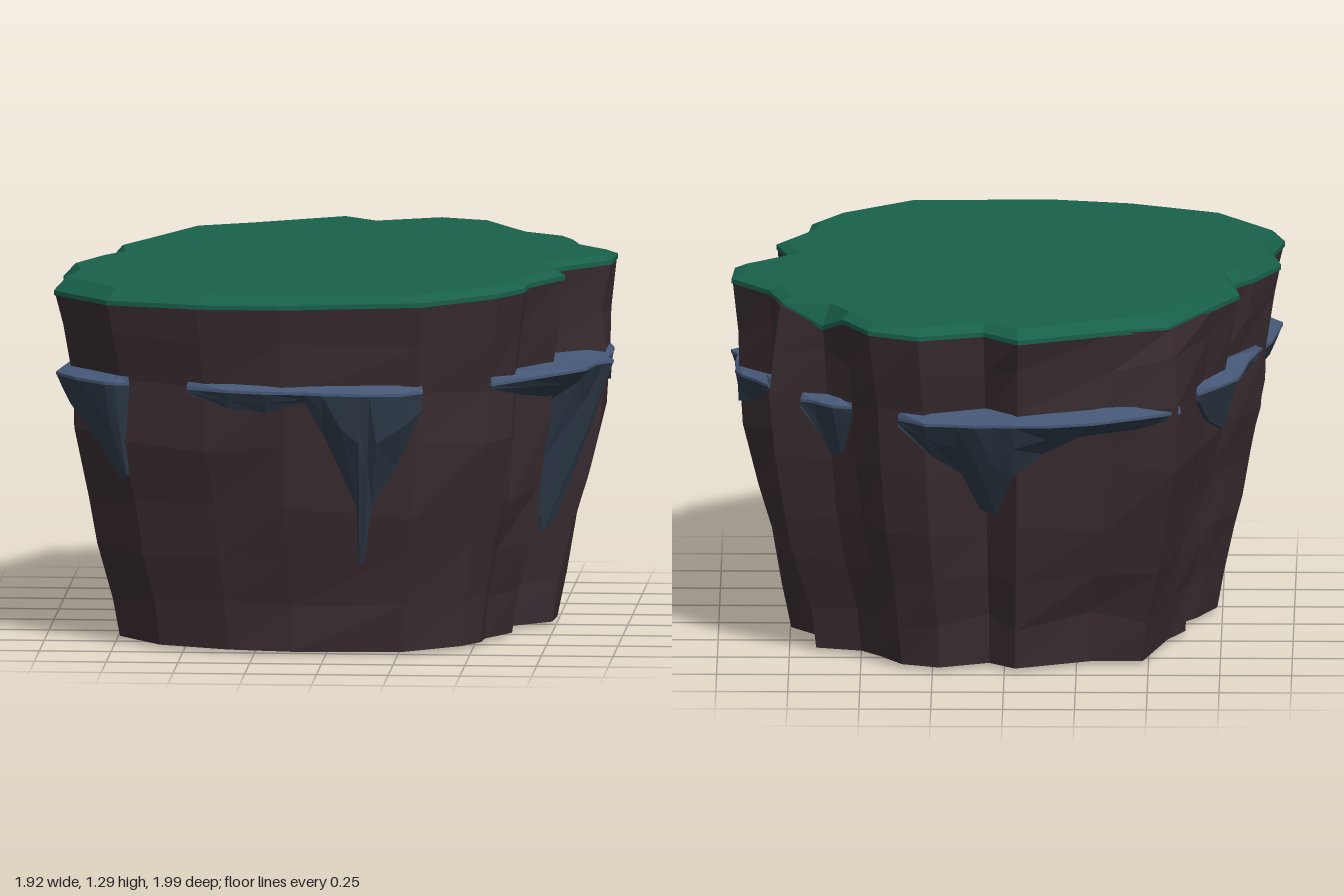
import * as THREE from 'three';

// Outline of the rock at its upper edge, as x, z pairs seen from above
const OUTLINE = [
  [-0.05, -0.99], [0.07, -0.88], [0.30, -0.97], [0.47, -0.90], [0.56, -0.74], [0.63, -0.62],
  [0.81, -0.55], [0.82, -0.34], [0.95, -0.19], [0.94, -0.03], [0.75, 0.14], [0.80, 0.32],
  [0.69, 0.51], [0.68, 0.62], [0.60, 0.75], [0.35, 0.95], [-0.15, 0.98], [-0.44, 0.93],
  [-0.76, 0.80], [-0.96, 0.54], [-0.92, 0.36], [-0.95, 0.20], [-0.86, 0], [-0.79, -0.10],
  [-0.81, -0.25], [-0.73, -0.41], [-0.60, -0.78], [-0.38, -0.82],
].reverse();

// Side profile: height and share of the outline
const PROFILE = [[0.012, 0.77], [0.17, 0.79], [0.35, 0.84], [0.52, 0.885], [0.75, 0.93], [0.95, 0.945], [1.12, 0.97], [1.25, 1]];

// Bulging flanks: angle in degrees (0 = front, 90 = left side +x) and strength
const FLANKS = [[124, 0.07], [218, 0.065], [96, 0.025]];

let seed = 7;
const jitter = (amount) => {
  seed = (seed * 16807) % 2147483647;
  return (seed / 2147483647 - 0.5) * 2 * amount;
};

// Share of the outline at a height and angle, with fuller flanks and a flatter back
function shareAt(y, a) {
  let share = 1;
  for (let i = PROFILE.length - 1; i > 0; i--) {
    const [y0, s0] = PROFILE[i - 1], [y1, s1] = PROFILE[i];
    if (y <= y1) share = THREE.MathUtils.lerp(s0, s1, Math.max(0, (y - y0) / (y1 - y0)));
  }
  const deg = (THREE.MathUtils.radToDeg(a) + 360) % 360;
  const hump = Math.min(1, 0.6 + y, (1.25 - y) / 0.3);
  let swell = -0.03 * Math.max(0, -Math.cos(a)) ** 4;
  for (const [centre, strength] of FLANKS) swell += strength * Math.exp(-(((deg - centre) / 14) ** 2));
  return share + hump * swell;
}

// Distance from the axis to the outline at an angle
function radiusAt(a) {
  const dx = Math.sin(a), dz = Math.cos(a);
  for (let i = 0; i < OUTLINE.length; i++) {
    const [px, pz] = OUTLINE[i], [qx, qz] = OUTLINE[(i + 1) % OUTLINE.length];
    const ex = qx - px, ez = qz - pz, det = dx * ez - dz * ex;
    const r = (px * ez - pz * ex) / det, t = (px * dz - pz * dx) / det;
    if (r > 0 && t >= -1e-6 && t <= 1 + 1e-6) return r;
  }
  return 0.9;
}

// The base sits slightly further forward than the top
const shiftZ = (y) => 0.04 * (1 - Math.min(1, y / 0.95));

// Height of the grass edge, with one notch at the back
const rimY = (x, z) => (x === 0.63 && z === -0.62 ? 1.21 : 1.25 + 0.022 * x);

// Two back corners where the grass stops short of the rock
const isBare = (x, z) => (x === 0.81 && z === -0.55) || (x === -0.60 && z === -0.78);

// Skin a list of closed rings and close both ends with fans
function loft(rings, color, name) {
  const n = rings[0].length, pos = [];
  const tri = (...pts) => pts.forEach((p) => pos.push(p.x, p.y, p.z));
  for (let k = 0; k < rings.length - 1; k++) {
    for (let j = 0; j < n; j++) {
      const a = rings[k][j], b = rings[k][(j + 1) % n], c = rings[k + 1][(j + 1) % n], d = rings[k + 1][j];
      tri(a, b, c);
      tri(a, c, d);
    }
  }
  const mid = (ring) => ring.reduce((s, p) => s.add(p), new THREE.Vector3()).divideScalar(n);
  const first = rings[0], last = rings[rings.length - 1], m0 = mid(first), m1 = mid(last);
  for (let j = 0; j < n; j++) {
    tri(m0, first[(j + 1) % n], first[j]);
    tri(m1, last[j], last[(j + 1) % n]);
  }
  const geometry = new THREE.BufferGeometry();
  geometry.setAttribute('position', new THREE.Float32BufferAttribute(pos, 3));
  geometry.computeVertexNormals();
  const mesh = new THREE.Mesh(geometry, new THREE.MeshStandardMaterial({ color, flatShading: true }));
  mesh.name = name;
  return mesh;
}

// A shelf hugging the rock: a pale top over a dark dripping underside.
// Each station is [angle in degrees, overhang, lowest height, bulge]
function ledge(stations, name) {
  const tops = [], drips = [];
  for (const [deg, out, low, bulge = 0.65] of stations) {
    const a = THREE.MathUtils.degToRad(deg), R = radiusAt(a);
    const at = (r, y) => new THREE.Vector3(Math.sin(a) * r, y, Math.cos(a) * r + shiftZ(y));
    const rim = R * shareAt(0.94, a) + out;
    const midY = THREE.MathUtils.lerp(0.93, low, 0.4);
    tops.push([at(R * 0.8, 0.97), at(R * shareAt(0.96, a), 0.97), at(rim, 0.95), at(rim, 0.94), at(R * 0.8, 0.94)]);
    drips.push([
      at(R * 0.8, 0.942),
      at(rim - 0.002, 0.942),
      at(R * shareAt(midY, a) + out * bulge, midY),
      at(R * shareAt(low, a) + 0.015, low),
      at(R * shareAt(low, a) - 0.1, low),
    ]);
  }
  const group = new THREE.Group();
  group.name = name;
  group.add(loft(tops, 0x465878, 'shelfTop'), loft(drips, 0x2c3846, 'shelfDrips'));
  return group;
}

export function createModel() {
  const group = new THREE.Group();

  // Rough tapering rock, its upper edge meeting the grass
  const top = PROFILE.length - 1;
  const rock = PROFILE.map(([y], k) => OUTLINE.map(([x, z]) => {
    const edge = isBare(x, z) ? 0.965 : 1;
    if (k === top) return new THREE.Vector3(x * edge, rimY(x, z), z * edge);
    const f = shareAt(y, Math.atan2(x, z)) + (k > 0 ? jitter(0.012) : 0);
    return new THREE.Vector3(x * f, y + (k > 0 ? jitter(0.03) : 0), z * f + shiftZ(y));
  }));
  group.add(loft(rock, 0x392c31, 'rock'));

  // Grass cap with a bevelled rim
  const cap = [0, 1, 2].map((level) => OUTLINE.map(([x, z]) => {
    const f = (isBare(x, z) ? 0.955 : 1.004) - (level === 2 ? 0.045 : 0);
    const y = level === 2 ? 1.288 + 0.006 * x : rimY(x, z) + (level === 0 ? -0.008 : 0.008);
    return new THREE.Vector3(x * f, y, z * f);
  }));
  group.add(loft(cap, 0x18604a, 'grassCap'));

  // Stone shelves with hanging drips
  group.add(ledge([
    [-29, 0.01, 0.93], [-20, 0.04, 0.88], [-12, 0.05, 0.87], [-4, 0.05, 0.91], [0, 0.07, 0.8], [4, 0.08, 0.66, 0.9],
    [7.5, 0.09, 0.54, 0.9], [8.5, 0.09, 0.33], [9.5, 0.09, 0.33], [11, 0.09, 0.54, 1], [16, 0.08, 0.68, 1], [21, 0.02, 0.88],
  ], 'frontLedge'));
  group.add(ledge([
    [39, 0.01, 0.93], [50, 0.05, 0.89], [66, 0.11, 0.85], [70, 0.14, 0.87], [78, 0.19, 0.8], [81, 0.2, 0.6],
    [83, 0.2, 0.4], [84.5, 0.17, 0.34], [87, 0.11, 0.38], [89, 0.08, 0.7], [94, 0.03, 0.86], [98, 0.02, 0.9],
    [101, 0.02, 0.84], [105, 0.04, 0.85], [110, 0.04, 0.9], [116, 0.01, 0.93],
  ], 'leftLedge'));
  group.add(ledge([
    [130, 0.01, 0.92], [133, 0.03, 0.84], [136, 0.05, 0.75], [139, 0.05, 0.77], [143, 0.01, 0.92],
  ], 'smallBackLedge'));
  group.add(ledge([
    [157, 0.01, 0.92], [164, 0.08, 0.82], [170, 0.13, 0.74], [174, 0.17, 0.6], [178, 0.14, 0.58], [182, 0.09, 0.74],
    [189, 0.12, 0.82], [198, 0.14, 0.87], [210, 0.07, 0.89], [219, 0.01, 0.93],
  ], 'backLedge'));
  group.add(ledge([
    [-127, 0.01, 0.92], [-118, 0.05, 0.82], [-109, 0.06, 0.76], [-100, 0.08, 0.86], [-92, 0.05, 0.88], [-82, 0.01, 0.93],
  ], 'rightLedge'));
  group.add(ledge([
    [-84, 0.01, 0.93], [-74, 0.04, 0.88], [-61, 0.06, 0.84], [-53, 0.07, 0.74], [-45.5, 0.05, 0.6], [-43.5, 0.03, 0.62], [-42, 0.01, 0.9],
  ], 'frontRightLedge'));

  // Ragged soil patch under the base
  const patchRadii = Array.from({ length: 20 }, () => 0.34 + jitter(0.03));
  const patch = [0, 0.03].map((y) => patchRadii.map((r, i) => {
    const a = (i / patchRadii.length) * Math.PI * 2;
    return new THREE.Vector3(Math.sin(a) * r, y, Math.cos(a) * r * 1.08);
  }));
  group.add(loft(patch, 0x57342b, 'soilPatch'));

  return group;
}
